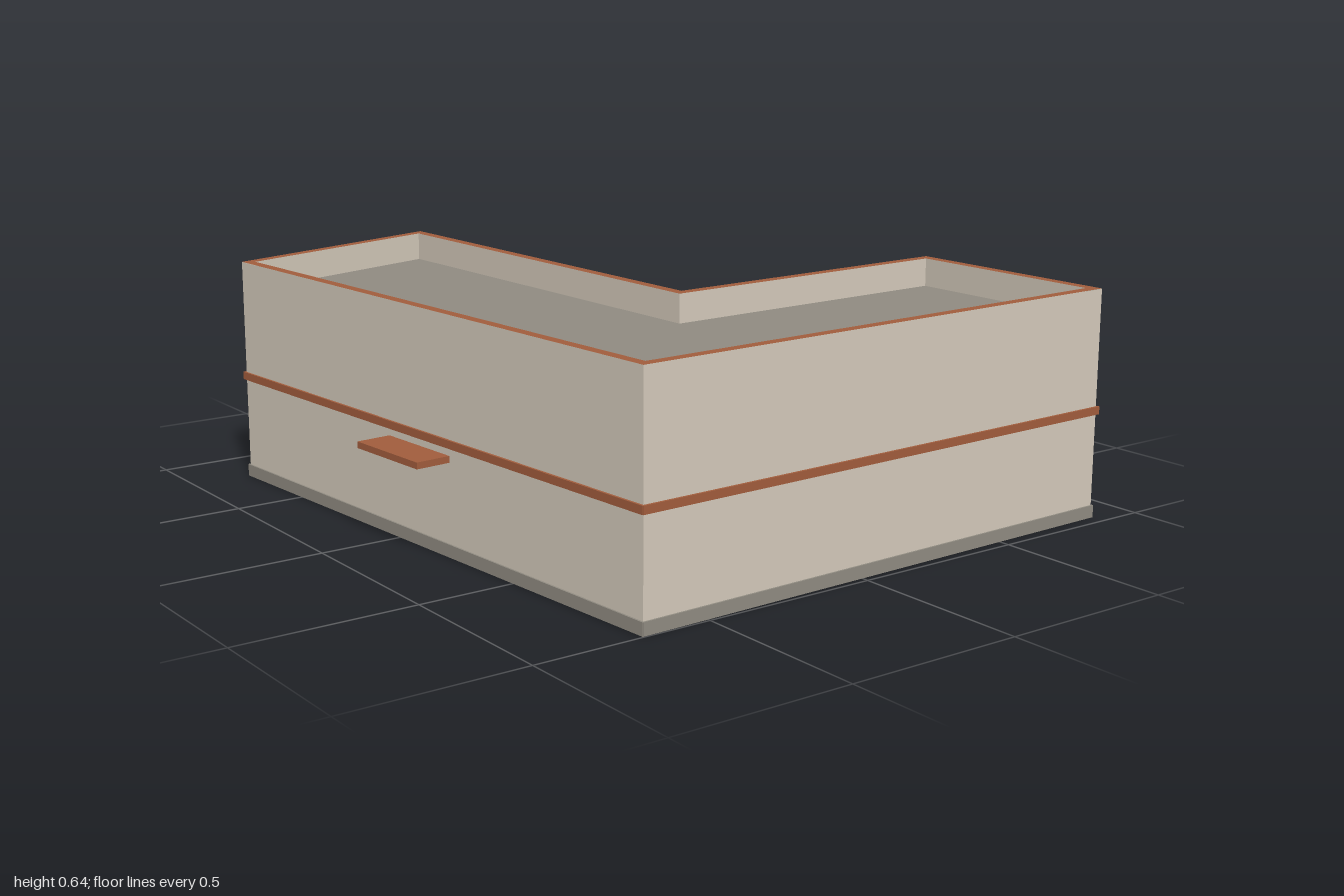
import * as THREE from 'three';

const mat = (name, color, side = THREE.FrontSide) => {
  const m = new THREE.MeshStandardMaterial({ color, side });
  m.name = name;
  return m;
};

export function createModel() {
  const render = mat('wall render', 0xd2c8b9, THREE.DoubleSide);
  const grey = mat('roof grey', 0x8f8a80, THREE.DoubleSide);
  const copper = mat('copper trim', 0xa05c3c);
  const frameMat = mat('window frame', 0xd8d2c6);
  const glass = mat('window glass', 0x445a72);
  const doorMat = mat('door', 0x3f5064);

  const H = 0.64, ROOF = 0.56, CAP = 0.03;
  const model = new THREE.Group();
  model.name = 'building';

  // Footprint corners as (x, z), counter-clockwise from above
  const corners = [
    [-0.995, 0.11], [-0.795, 0.82], [0.992, 0.69],
    [0.955, -0.867], [0.295, -0.852], [0.318, 0.07],
  ].map(([x, z]) => new THREE.Vector2(x, z));
  const n = corners.length;

  const walls = corners.map((a, i) => {
    const b = corners[(i + 1) % n];
    const dir = b.clone().sub(a);
    const length = dir.length();
    dir.normalize();
    return { a, length, dir, out: new THREE.Vector2(-dir.y, dir.x) };
  });

  // Mitred inner outline of the parapet
  const inner = corners.map((p, i) => {
    const o1 = walls[(i + n - 1) % n].out, o2 = walls[i].out;
    return p.clone().addScaledVector(o1.clone().add(o2), -CAP / (1 + o1.dot(o2)));
  });

  const add = (parent, name, geo, material) => {
    const m = new THREE.Mesh(geo, material);
    m.name = name;
    parent.add(m);
    return m;
  };
  const box = (parent, name, w, h, d, material, x, y, z) =>
    add(parent, name, new THREE.BoxGeometry(w, h, d), material).position.set(x, y, z);

  // Vertical faces between two heights along a closed outline
  const ring = (name, pts, y0, y1) => {
    pts.forEach((a, i) => {
      const b = pts[(i + 1) % n];
      const len = a.distanceTo(b);
      const m = add(model, name, new THREE.PlaneGeometry(len, y1 - y0), render);
      m.position.set((a.x + b.x) / 2, (y0 + y1) / 2, (a.y + b.y) / 2);
      m.rotation.y = -Math.atan2(b.y - a.y, b.x - a.x);
    });
  };
  ring('outerWall', corners, 0, H);
  ring('parapetInside', inner, ROOF, H);

  // Roof deck and parapet capping
  const flip = pts => pts.map(p => new THREE.Vector2(p.x, -p.y));
  const flat = (name, shape, y, material) => {
    add(model, name, new THREE.ShapeGeometry(shape).rotateX(-Math.PI / 2), material).position.y = y;
  };
  flat('roofDeck', new THREE.Shape(flip(corners)), ROOF, grey);
  const capShape = new THREE.Shape(flip(corners));
  capShape.holes.push(new THREE.Path(flip(inner)));
  flat('parapetCap', capShape, H + 0.001, copper);

  // Details in each wall's own frame: x along the wall, z outwards
  const columns = [2, 6, 5, 2, 2, 4];
  walls.forEach((w, i) => {
    const g = new THREE.Group();
    g.name = 'wallDetails' + (i + 1);
    g.position.set(w.a.x, 0, w.a.y);
    g.rotation.y = -Math.atan2(w.dir.y, w.dir.x);
    model.add(g);

    // Plinth and string course on the street sides
    if (i < 3) {
      box(g, 'plinth', w.length + 0.008, 0.035, 0.005, grey, w.length / 2, 0.0175, 0.003);
      box(g, 'stringCourse', w.length + 0.012, 0.022, 0.007, copper, w.length / 2, 0.304, 0.004);
    }

    // Windows on the inner wall faces, with one door at the front
    for (let c = 0; c < columns[i]; c++) {
      const x = w.length * (c + 0.5) / columns[i];
      for (const y of [0.15, 0.455]) {
        if (i === 1 && c === 2 && y < 0.3) {
          box(g, 'doorFrame', 0.15, 0.25, 0.02, frameMat, x, 0.135, -0.012);
          box(g, 'door', 0.14, 0.24, 0.006, doorMat, x, 0.135, -0.024);
        } else {
          box(g, 'windowFrame', 0.13, 0.14, 0.02, frameMat, x, y, -0.012);
          box(g, 'windowPane', 0.12, 0.13, 0.006, glass, x, y, -0.024);
        }
      }
    }

    // Entrance canopy
    if (i === 1) box(g, 'canopy', 0.275, 0.018, 0.1, copper, w.length / 2, 0.265, 0.055);
  });

  return model;
}
